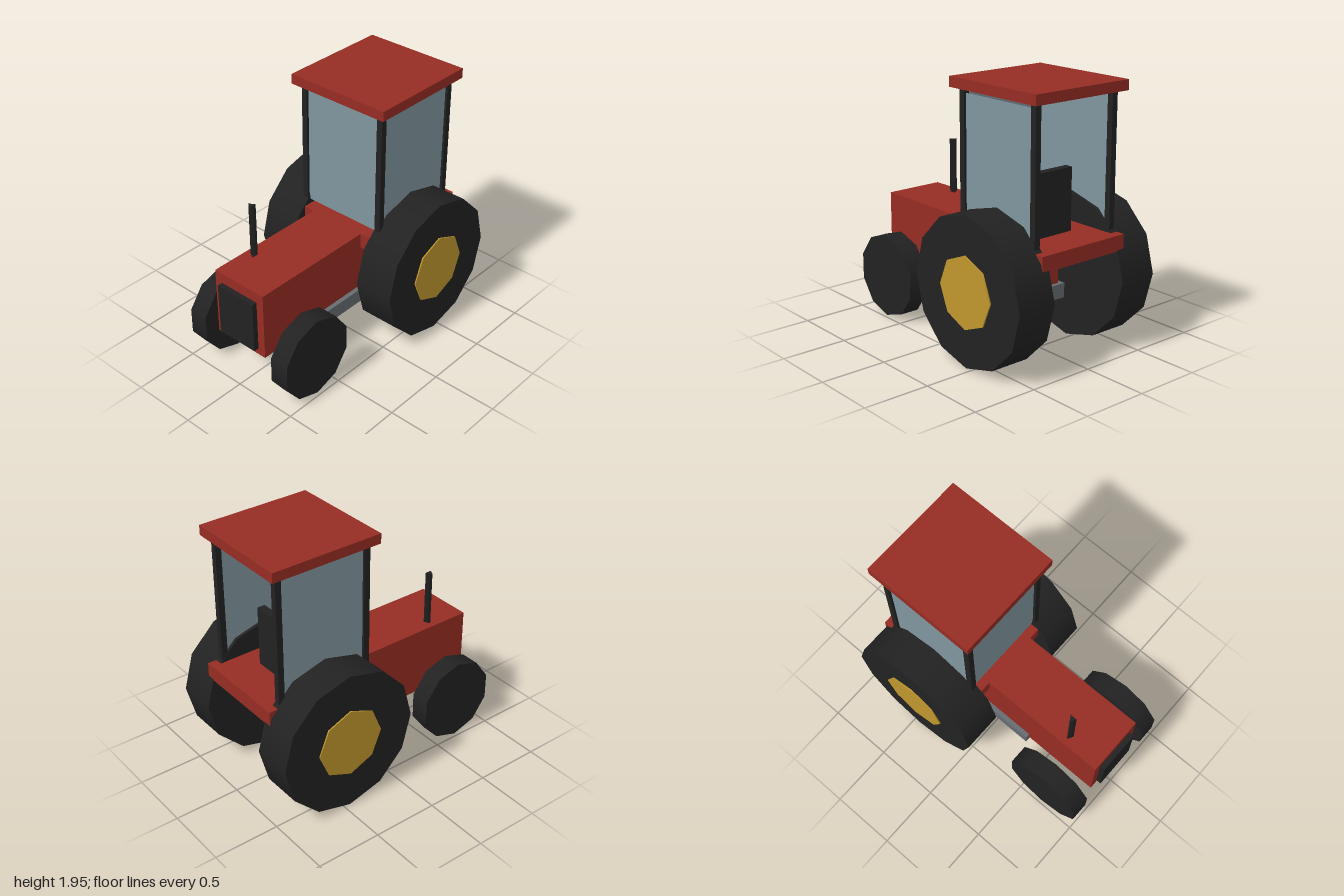
import * as THREE from 'three';

const paint = (name, color) => {
  const m = new THREE.MeshStandardMaterial({ color });
  m.name = name;
  return m;
};

export function createModel() {
  const red = paint('red paint', 0x962c23);
  const black = paint('black rubber', 0x222222);
  const yellow = paint('yellow hub', 0xc0962e);
  const grey = paint('grey metal', 0x676c70);
  const glass = paint('blue grey glass', 0x80969e);

  const model = new THREE.Group();
  model.name = 'tractor';

  const add = (name, geometry, material, x, y, z) => {
    const mesh = new THREE.Mesh(geometry, material);
    mesh.name = name;
    mesh.position.set(x, y, z);
    model.add(mesh);
    return mesh;
  };

  // Box given by its lower and upper corner on each axis
  const box = (name, material, [x0, x1], [y0, y1], [z0, z1]) =>
    add(name, new THREE.BoxGeometry(x1 - x0, y1 - y0, z1 - z0), material,
      (x0 + x1) / 2, (y0 + y1) / 2, (z0 + z1) / 2);

  // Few-sided disc with its axle along z
  const disc = (name, material, radius, sides, x, y, z0, z1) =>
    add(name, new THREE.CylinderGeometry(radius, radius, Math.abs(z1 - z0), sides).rotateX(Math.PI / 2),
      material, x, y, (z0 + z1) / 2);

  // Body; the nose points along -x
  box('hood', red, [-0.96, 0.45], [0.35, 0.88], [-0.23, 0.23]);
  box('grille', black, [-1, -0.95], [0.4, 0.8], [-0.168, 0.168]);
  box('chassis', grey, [-0.35, 0.48], [0.31, 0.42], [-0.265, 0.265]);
  box('cabFloor', red, [0.04, 0.94], [0.765, 0.88], [-0.38, 0.38]);

  // Three-sided exhaust pipe
  add('exhaust', new THREE.CylinderGeometry(0.03, 0.03, 0.42, 3).rotateY(Math.PI), black, -0.66, 1.09, -0.157);

  // Seat
  box('seatCushion', black, [0.35, 0.65], [0.88, 1.075], [-0.153, 0.153]);
  box('seatBack', black, [0.59, 0.65], [1.075, 1.34], [-0.153, 0.153]);

  // Cab, open at the back
  box('roof', red, [0.03, 0.905], [1.873, 1.948], [-0.42, 0.42]);
  box('frontWindow', glass, [0.1, 0.108], [0.92, 1.835], [-0.325, 0.325]);

  for (const s of [1, -1]) {
    const side = s > 0 ? 'left' : 'right';
    const span = (a, b) => (s > 0 ? [a, b] : [-b, -a]);

    // Pillars and side window
    box(side + 'FrontPillar', black, [0.08, 0.128], [0.88, 1.873], span(0.325, 0.37));
    box(side + 'RearPillar', black, [0.805, 0.852], [0.88, 1.873], span(0.325, 0.37));
    box(side + 'Window', glass, [0.128, 0.805], [0.92, 1.835], span(0.344, 0.352));

    // Wheels
    disc(side + 'RearTyre', black, 0.55, 12, 0.45, 0.55, s * 0.32, s * 0.628);
    disc(side + 'RearHub', yellow, 0.267, 8, 0.45, 0.552, s * 0.6, s * 0.638);
    disc(side + 'FrontTyre', black, 0.32, 10, -0.695, 0.325, s * 0.328, s * 0.478);
  }

  return model;
}
